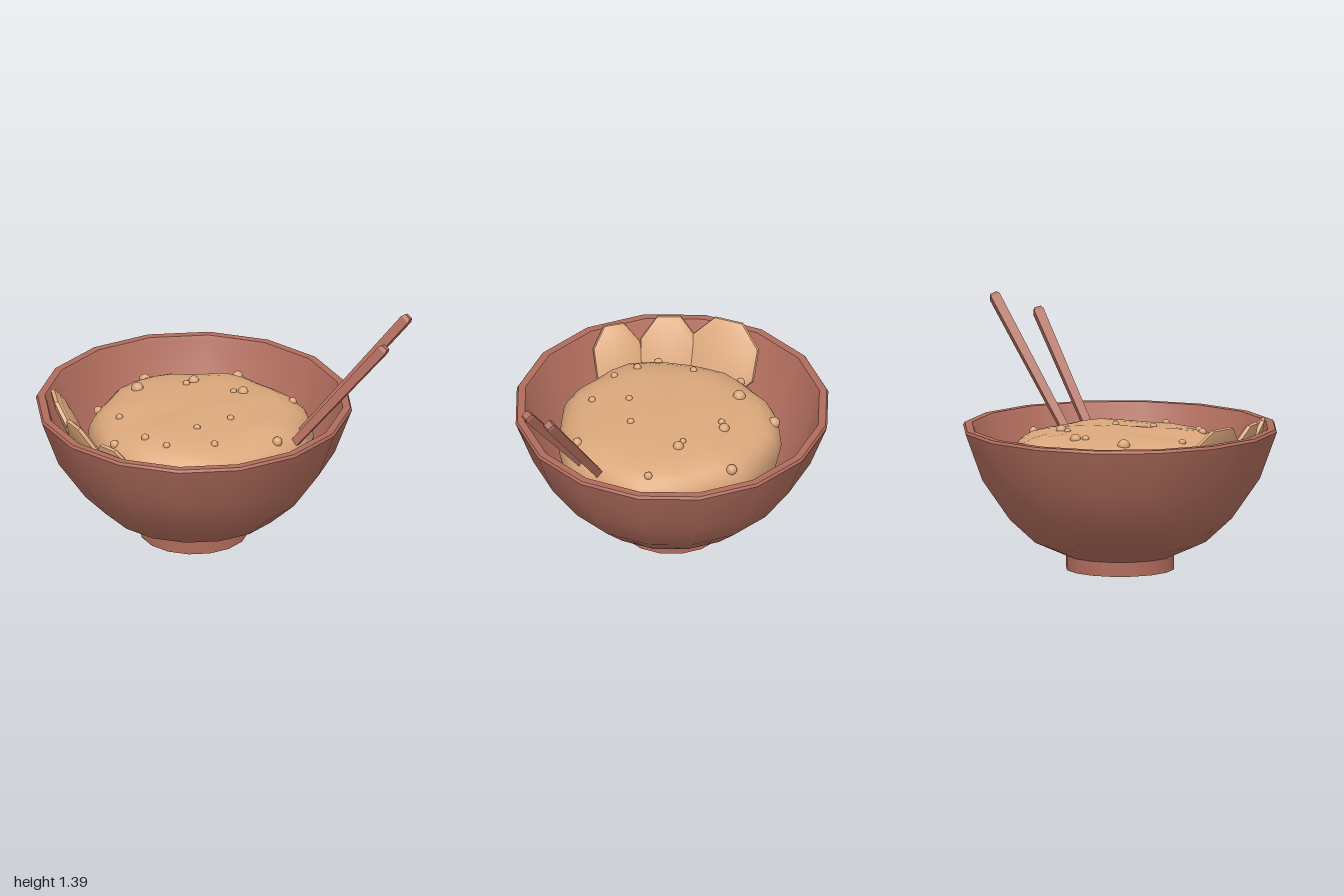
import * as THREE from 'three';
import { toCreasedNormals } from 'three/addons/utils/BufferGeometryUtils.js';

const CLAY = new THREE.MeshStandardMaterial({ color: 0xb06c5c });
const STICK = new THREE.MeshStandardMaterial({ color: 0xb06c5c, flatShading: true });
const GRAIN = new THREE.MeshStandardMaterial({ color: 0xdca87c });

const MOUND = { x: -0.1, z: 0.025, base: 0.55, height: 0.215 };

function lathe(points, sides) {
  return new THREE.LatheGeometry(points.map(([r, y]) => new THREE.Vector2(r, y)), sides);
}

function addMesh(parent, name, geometry, material) {
  const mesh = new THREE.Mesh(geometry, material);
  mesh.name = name;
  parent.add(mesh);
  return mesh;
}

// Uneven outline of the mound at an angle
function moundRadius(a) {
  return 0.615 + 0.014 * Math.sin(3 * a + 0.6) + 0.012 * Math.sin(7 * a + 2) + 0.008 * Math.sin(11 * a);
}

// Soft lumps on top of the mound
function lump(x, z) {
  return 0.006 * Math.sin(9 * x + 1.5) * Math.cos(8 * z) + 0.004 * Math.sin(19 * z + 7 * x);
}

// Flattened dome: nearly level in the middle, steep at the edge
function dome(f) {
  return MOUND.base + MOUND.height * Math.pow(Math.max(0, 1 - Math.pow(f, 5)), 0.4);
}

function makeBowl() {
  const profile = [
    [0, 0.04], [0.26, 0.03], [0.28, 0], [0.3, 0], [0.3, 0.08],
    [0.48, 0.16], [0.625, 0.295], [0.78, 0.52], [0.875, 0.78],
    [0.866, 0.795], [0.825, 0.795], [0.815, 0.775],
    [0.73, 0.53], [0.58, 0.32], [0.44, 0.2], [0.25, 0.12], [0, 0.11],
  ];
  return toCreasedNormals(lathe(profile, 16), 0.6);
}

function makeMound() {
  const profile = [[0.8, 0.32], [0.96, 0.44]];
  for (const f of [1, 0.985, 0.95, 0.9, 0.82, 0.7, 0.55, 0.38, 0.2, 0]) profile.push([f, dome(f)]);
  const geometry = lathe(profile, 32);
  const p = geometry.attributes.position;
  for (let i = 0; i < p.count; i++) {
    const f = Math.hypot(p.getX(i), p.getZ(i));
    const a = Math.atan2(p.getZ(i), p.getX(i));
    const r = f * moundRadius(a);
    const x = r * Math.cos(a), z = r * Math.sin(a);
    p.setXYZ(i, x, p.getY(i) + lump(x, z), z);
  }
  return toCreasedNormals(geometry, 0.75);
}

// Tapered square stick from its hidden lower end to its bevelled upper end
function addChopstick(parent, name, low, high) {
  const a = new THREE.Vector3(...low), b = new THREE.Vector3(...high);
  const length = a.distanceTo(b);
  const geometry = lathe([
    [0, 0], [0.03, 0], [0.038, length - 0.02], [0.027, length], [0, length],
  ], 4);
  const stick = addMesh(parent, name, geometry, STICK);
  stick.position.copy(a);
  stick.quaternion.setFromUnitVectors(new THREE.Vector3(0, 1, 0), b.sub(a).normalize());
}

// Thin eight-sided slice leaning outward against the bowl wall
function addSlice(parent, name, position, width, height, turn) {
  const geometry = lathe([
    [0, -0.026], [0.8, -0.024], [1, -0.008], [0.98, 0.012], [0.8, 0.026], [0, 0.03],
  ], 8);
  geometry.rotateY(Math.PI / 8);
  geometry.rotateZ(-Math.PI / 2);
  geometry.scale(1, height, width);
  const holder = new THREE.Group();
  holder.name = name;
  holder.position.set(...position);
  holder.rotation.y = turn;
  const slice = addMesh(holder, name + 'Body', toCreasedNormals(geometry, 0.7), GRAIN);
  slice.rotation.z = 0.48;
  parent.add(holder);
}

export function createModel() {
  const model = new THREE.Group();
  model.name = 'bowlOfFood';

  const bowl = addMesh(model, 'bowl', makeBowl(), CLAY);
  bowl.position.x = -0.125;

  const mound = addMesh(model, 'foodMound', makeMound(), GRAIN);
  mound.position.set(MOUND.x, 0, MOUND.z);

  // Seeds sprinkled over the mound: x, z, radius
  const seeds = [
    [-0.24, -0.55, 0.033], [-0.35, -0.33, 0.035], [-0.59, -0.285, 0.025],
    [-0.03, -0.315, 0.03], [-0.08, -0.29, 0.02], [0.255, -0.42, 0.03],
    [0.19, -0.105, 0.03], [0.14, -0.12, 0.018], [0.44, 0.01, 0.023],
    [-0.64, 0.19, 0.025], [-0.49, 0.275, 0.022], [-0.185, 0.255, 0.02],
    [0.025, 0.2, 0.02], [-0.4, 0.385, 0.02], [-0.145, 0.455, 0.02],
    [0.215, 0.46, 0.028], [-0.545, -0.03, 0.02],
  ];
  const seedGroup = new THREE.Group();
  seedGroup.name = 'seeds';
  for (const [x, z, r] of seeds) {
    const dx = x - MOUND.x, dz = z - MOUND.z;
    const f = Math.hypot(dx, dz) / moundRadius(Math.atan2(dz, dx));
    const seed = addMesh(seedGroup, 'seed', new THREE.SphereGeometry(r, 10, 8), GRAIN);
    seed.position.set(x, Math.min(dome(f) + lump(dx, dz), 0.79 - r), z);
  }
  model.add(seedGroup);

  // Slices tucked along the side of the bowl
  addSlice(model, 'backSlice', [-0.785, 0.67, -0.14], 0.215, 0.235, -0.16);
  addSlice(model, 'middleSlice', [-0.78, 0.655, 0.16], 0.17, 0.23, 0.22);
  addSlice(model, 'frontSlice', [-0.685, 0.645, 0.425], 0.145, 0.215, 0.5);

  addChopstick(model, 'backChopstick', [0.29, 0.53, 0.273], [0.972, 1.372, 0.457]);
  addChopstick(model, 'frontChopstick', [0.22, 0.53, 0.374], [0.79, 1.285, 0.62]);
  return model;
}
